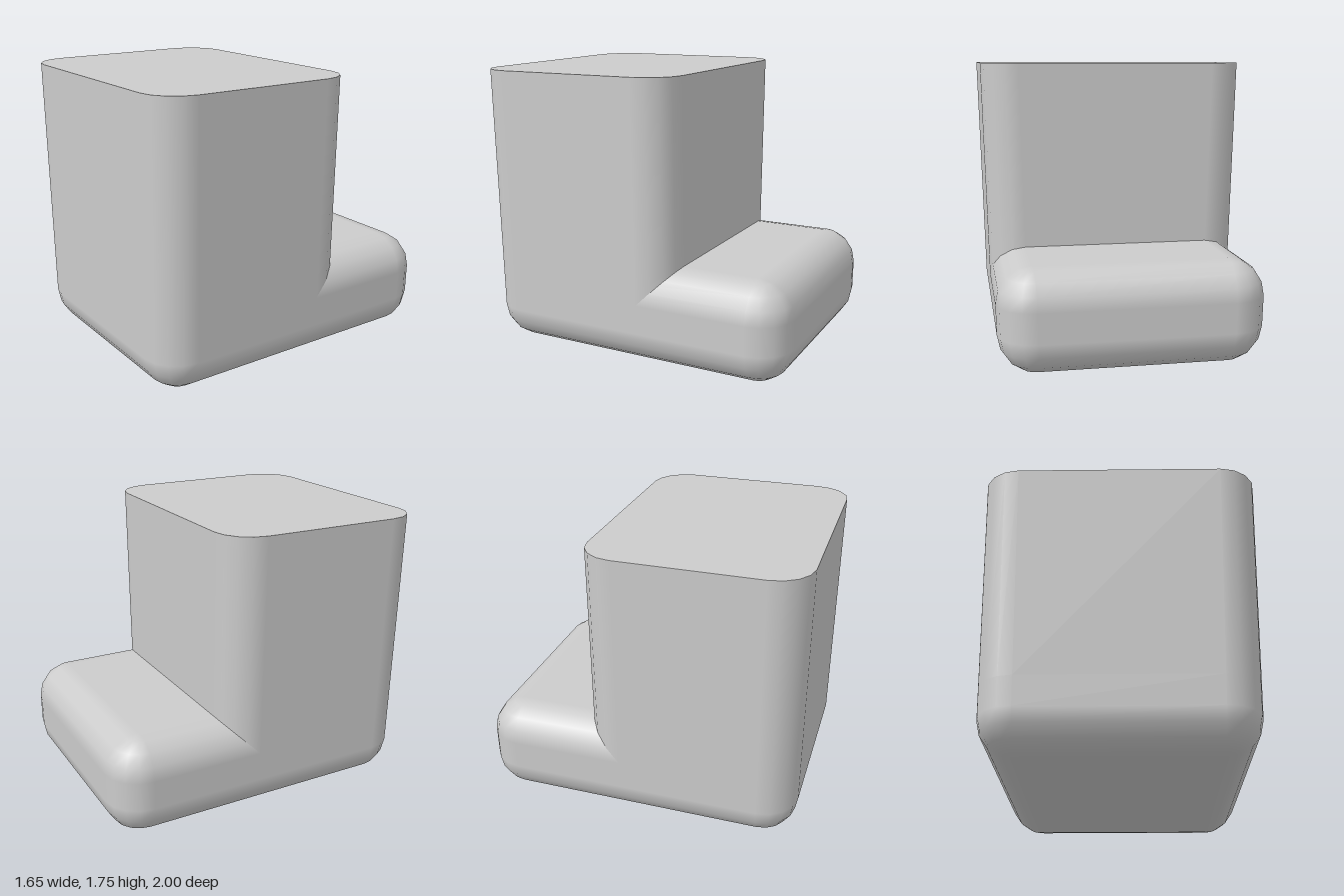
import * as THREE from 'three';

const R = 0.22;          // edge radius
const SEG = 4;           // steps per rounded quarter
const FRONT = 1;
const halfWidth = (y) => 0.78 + 0.0257 * y;   // sides flare slightly upwards

// Closed solid from rounded-rectangle rings, each { y, inset, tilt }, bottom to top
function loft(rings, back) {
  const pos = [], nor = [], idx = [];
  const n = 4 * (SEG + 1);
  const addRing = ({ y, inset, tilt }, capNormal) => {
    const cx = halfWidth(y) - R, r = R - inset;
    for (let q = 0; q < 4; q++) {
      const sx = q === 0 || q === 3 ? 1 : -1;
      for (let s = 0; s <= SEG; s++) {
        const a = (q + s / SEG) * Math.PI / 2;
        const c = Math.cos(a), d = Math.sin(a);
        pos.push(sx * cx + r * c, y, (q < 2 ? FRONT - R : back + R) + r * d);
        if (capNormal) nor.push(0, capNormal, 0);
        else nor.push(c * Math.cos(tilt), Math.sin(tilt), d * Math.cos(tilt));
      }
    }
  };
  rings.forEach((ring) => addRing(ring));
  for (let i = 0; i < rings.length - 1; i++) {
    for (let j = 0; j < n; j++) {
      const p = i * n + j, q = i * n + (j + 1) % n;
      idx.push(p, p + n, q, q, p + n, q + n);
    }
  }
  // Flat caps with their own normals
  for (const [ring, up] of [[rings[0], -1], [rings[rings.length - 1], 1]]) {
    const start = pos.length / 3;
    addRing(ring, up);
    for (let j = 1; j < n - 1; j++) {
      if (up > 0) idx.push(start, start + j + 1, start + j);
      else idx.push(start, start + j, start + j + 1);
    }
  }
  const geo = new THREE.BufferGeometry();
  geo.setAttribute('position', new THREE.Float32BufferAttribute(pos, 3));
  geo.setAttribute('normal', new THREE.Float32BufferAttribute(nor, 3));
  geo.setIndex(idx);
  return geo;
}

export function createModel() {
  const group = new THREE.Group();
  const material = new THREE.MeshStandardMaterial({ color: 0xcccccc });
  const add = (name, geometry) => {
    const mesh = new THREE.Mesh(geometry, material);
    mesh.name = name;
    group.add(mesh);
  };

  // Low base, rounded on every edge
  const height = 0.62, baseRings = [];
  for (const top of [false, true]) {
    for (let s = 0; s <= SEG; s++) {
      const a = (top ? s : s - SEG) / SEG * Math.PI / 2;
      baseRings.push({
        y: (top ? height - R : R) + R * Math.sin(a),
        inset: R * (1 - Math.cos(a)),
        tilt: a,
      });
    }
  }
  add('base', loft(baseRings, -1));

  // Tall block rising from the front of the base, with a sharp flat top
  add('upright', loft([
    { y: height - R, inset: 0, tilt: 0 },
    { y: 1.75, inset: 0, tilt: 0 },
  ], -0.3));

  return group;
}
